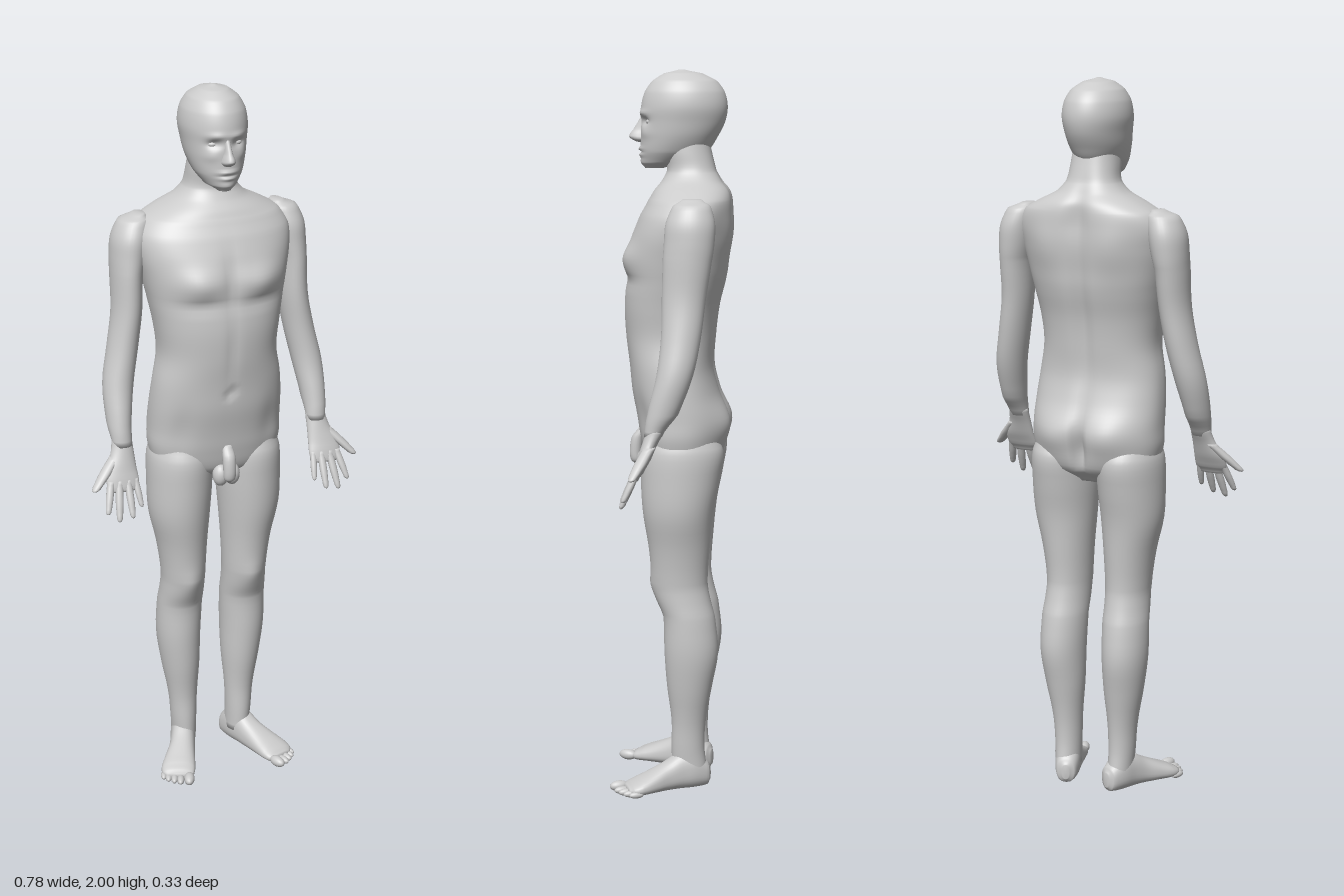
import * as THREE from 'three';

const skin = new THREE.MeshStandardMaterial({ color: 0xcccccc });

// Smooth closed body lofted upward through rows [y, cx, cz, rx, rFront, rBack].
// bumps: [x, y, face (+1 front, -1 back), sizeX, sizeY, amount] push the skin in or out along z.
function loft(name, rows, { around = 32, steps = 4, square = 1, bumps = [] } = {}) {
  const r = rows[0][0] > rows[rows.length - 1][0] ? [...rows].reverse() : rows;
  const at = (i) => r[Math.max(0, Math.min(r.length - 1, i))];
  const pos = [], index = [];
  const rings = (r.length - 1) * steps + 1;
  const bend = (v) => Math.sign(v) * Math.pow(Math.abs(v), square);
  for (let k = 0; k < rings; k++) {
    const i = Math.min(Math.floor(k / steps), r.length - 2), t = k / steps - i;
    const [y, cx, cz, rx, rf, rb] = r[0].map((_, c) => {
      const [a, b, d, e] = [at(i - 1)[c], at(i)[c], at(i + 1)[c], at(i + 2)[c]];
      if (c === 0) return b + (d - b) * t;
      return b + 0.5 * t * (d - a + t * (2 * a - 5 * b + 4 * d - e + t * (3 * (b - d) + e - a)));
    });
    for (let j = 0; j < around; j++) {
      const w = (j / around) * Math.PI * 2, s = Math.sin(w);
      const x = cx + rx * bend(Math.cos(w));
      let z = cz + (s > 0 ? rf : rb) * bend(s);
      for (const [bx, by, face, sx, sy, amt] of bumps) {
        const facing = Math.max(0, s * face);
        z += face * amt * Math.sqrt(facing) * Math.exp(-(((x - bx) / sx) ** 2) - ((y - by) / sy) ** 2);
      }
      pos.push(x, y, z);
      if (k < rings - 1) {
        const a = k * around + j, b = k * around + ((j + 1) % around);
        index.push(a, a + around, b, b, a + around, b + around);
      }
    }
  }
  // End caps
  for (const [row, k] of [[r[0], 0], [r[r.length - 1], rings - 1]]) {
    const c = pos.length / 3;
    pos.push(row[1], row[0], row[2]);
    for (let j = 0; j < around; j++) {
      const a = k * around + j, b = k * around + ((j + 1) % around);
      k ? index.push(c, b, a) : index.push(c, a, b);
    }
  }
  const g = new THREE.BufferGeometry();
  g.setAttribute('position', new THREE.Float32BufferAttribute(pos, 3));
  g.setIndex(index);
  g.computeVertexNormals();
  const mesh = new THREE.Mesh(g, skin);
  mesh.name = name;
  return mesh;
}

const mirrored = (rows, s) => rows.map(([y, cx, ...rest]) => [y, cx * s, ...rest]);
const both = (bumps) => bumps.flatMap(([x, ...rest]) => [[x, ...rest], [-x, ...rest]]);

function ellipsoid(name, x, y, z, rx, ry, rz) {
  const mesh = new THREE.Mesh(new THREE.SphereGeometry(1, 20, 14), skin);
  mesh.position.set(x, y, z);
  mesh.scale.set(rx, ry, rz);
  mesh.name = name;
  return mesh;
}

// Tapered finger from base to tip with a slight knuckle and a round end
function finger(name, base, tip, r, s) {
  const profile = [[0, 1], [0.25, 1], [0.5, 1.02], [0.75, 0.88], [0.92, 0.72], [0.98, 0.45], [1, 0.1]];
  const rows = profile.map(([t, k]) => {
    const p = base.map((b, i) => b + (tip[i] - b) * t);
    return [p[1], p[0] * s, p[2], r * k, r * k, r * k];
  });
  return loft(name, rows, { around: 12, steps: 3 });
}

function makeTorso() {
  return loft('torso', [
    [0.90, 0, -0.02, 0.09, 0.05, 0.06], [0.94, 0, -0.02, 0.165, 0.095, 0.11],
    [1.00, 0, -0.02, 0.188, 0.112, 0.122], [1.06, 0, -0.02, 0.189, 0.122, 0.128],
    [1.13, 0, -0.01, 0.187, 0.125, 0.117], [1.20, 0, 0, 0.18, 0.122, 0.112],
    [1.28, 0, 0, 0.167, 0.132, 0.117], [1.36, 0, 0, 0.175, 0.136, 0.127],
    [1.44, 0, -0.01, 0.19, 0.14, 0.135], [1.50, 0, -0.02, 0.203, 0.146, 0.13],
    [1.56, 0, -0.03, 0.215, 0.142, 0.125], [1.61, 0, -0.045, 0.217, 0.137, 0.112],
    [1.65, 0, -0.06, 0.195, 0.13, 0.098], [1.675, 0, -0.06, 0.15, 0.115, 0.093],
    [1.70, 0, -0.055, 0.1, 0.09, 0.08], [1.73, 0, -0.05, 0.073, 0.07, 0.067],
    [1.78, 0, -0.035, 0.066, 0.06, 0.068], [1.84, 0, -0.03, 0.06, 0.055, 0.06],
  ], {
    around: 96, steps: 5, square: 0.88,
    bumps: [
      [0, 1.5, 1, 0.018, 0.07, -0.008], [0, 1.18, 1, 0.012, 0.012, -0.01],
      [0, 1.31, 1, 0.014, 0.1, -0.005], [0, 1.38, -1, 0.025, 0.24, -0.016],
      [0, 1.0, -1, 0.014, 0.07, -0.03], [0, 1.64, -1, 0.03, 0.06, -0.012],
      ...both([[0.09, 1.495, 1, 0.06, 0.04, 0.018], [0.085, 1.435, 1, 0.07, 0.014, -0.007],
        [0.085, 1.03, -1, 0.065, 0.06, 0.018], [0.1, 1.56, -1, 0.06, 0.08, 0.012],
        [0.13, 1.07, 1, 0.03, 0.07, -0.006]]),
    ],
  });
}

function makeHead() {
  const head = new THREE.Group();
  head.name = 'head';
  head.add(loft('skull', [
    [1.735, 0, 0.06, 0.018, 0.018, 0.03], [1.75, 0, 0.03, 0.043, 0.056, 0.06],
    [1.78, 0, 0.01, 0.064, 0.082, 0.1], [1.82, 0, -0.01, 0.078, 0.102, 0.108],
    [1.86, 0, -0.02, 0.085, 0.111, 0.118], [1.90, 0, -0.027, 0.09, 0.118, 0.118],
    [1.94, 0, -0.027, 0.084, 0.108, 0.11], [1.97, 0, -0.025, 0.067, 0.085, 0.09],
    [1.99, 0, -0.022, 0.04, 0.05, 0.053], [2.0, 0, -0.02, 0.006, 0.008, 0.008],
  ], {
    around: 96, steps: 8,
    bumps: [
      [0, 1.75, 1, 0.025, 0.014, 0.006], [0, 1.787, 1, 0.025, 0.005, 0.007],
      [0, 1.779, 1, 0.024, 0.003, -0.004], [0, 1.771, 1, 0.022, 0.005, 0.006],
      ...both([[0.034, 1.862, 1, 0.018, 0.011, -0.012], [0.03, 1.884, 1, 0.025, 0.008, 0.005],
        [0.045, 1.83, 1, 0.018, 0.014, 0.004]]),
    ],
  }));
  head.add(loft('nose', [
    [1.806, 0, 0.085, 0.012, 0.018, 0.01], [1.813, 0, 0.088, 0.018, 0.029, 0.01],
    [1.822, 0, 0.09, 0.017, 0.034, 0.01], [1.84, 0, 0.088, 0.011, 0.024, 0.01],
    [1.865, 0, 0.084, 0.008, 0.013, 0.01], [1.885, 0, 0.08, 0.006, 0.008, 0.01],
  ], { around: 20 }));
  for (const s of [1, -1]) head.add(ellipsoid('eye', 0.033 * s, 1.861, 0.064, 0.014, 0.008, 0.011));
  return head;
}

function makeArm(s) {
  const arm = new THREE.Group();
  arm.name = s > 0 ? 'leftArm' : 'rightArm';
  arm.add(loft('upperArmAndForearm', mirrored([
    [1.662, 0.198, -0.06, 0.015, 0.025, 0.025], [1.645, 0.212, -0.06, 0.042, 0.05, 0.05],
    [1.60, 0.225, -0.06, 0.05, 0.068, 0.063], [1.55, 0.232, -0.06, 0.048, 0.072, 0.062],
    [1.50, 0.238, -0.055, 0.043, 0.07, 0.06], [1.40, 0.242, -0.045, 0.041, 0.062, 0.055],
    [1.30, 0.258, -0.035, 0.042, 0.053, 0.053], [1.20, 0.278, -0.018, 0.042, 0.047, 0.05],
    [1.10, 0.287, 0.012, 0.034, 0.04, 0.042], [1.04, 0.286, 0.037, 0.027, 0.024, 0.024],
  ], s)));
  arm.add(loft('palm', mirrored([
    [1.06, 0.286, 0.03, 0.028, 0.025, 0.025], [1.02, 0.29, 0.045, 0.033, 0.021, 0.02],
    [0.98, 0.299, 0.06, 0.044, 0.019, 0.018], [0.945, 0.299, 0.076, 0.046, 0.014, 0.015],
    [0.925, 0.299, 0.085, 0.036, 0.008, 0.01],
  ], s)));
  arm.add(finger('indexFinger', [0.333, 0.955, 0.075], [0.354, 0.873, 0.112], 0.0105, s));
  arm.add(finger('middleFinger', [0.31, 0.955, 0.077], [0.324, 0.85, 0.12], 0.011, s));
  arm.add(finger('ringFinger', [0.286, 0.955, 0.077], [0.286, 0.857, 0.122], 0.0105, s));
  arm.add(finger('littleFinger', [0.264, 0.955, 0.074], [0.256, 0.88, 0.107], 0.009, s));
  arm.add(finger('thumb', [0.31, 1.015, 0.045], [0.384, 0.935, 0.088], 0.016, s));
  return arm;
}

function makeLeg(s) {
  const leg = new THREE.Group();
  leg.name = s > 0 ? 'leftLeg' : 'rightLeg';
  leg.add(loft('thighAndCalf', mirrored([
    [1.02, 0.1, -0.02, 0.075, 0.09, 0.1], [0.97, 0.101, -0.02, 0.089, 0.106, 0.122],
    [0.90, 0.102, -0.02, 0.091, 0.106, 0.114], [0.80, 0.104, -0.02, 0.086, 0.1, 0.095],
    [0.70, 0.097, -0.02, 0.071, 0.085, 0.085], [0.60, 0.093, -0.02, 0.062, 0.075, 0.079],
    [0.55, 0.094, -0.027, 0.062, 0.07, 0.08], [0.50, 0.096, -0.04, 0.064, 0.064, 0.08],
    [0.40, 0.098, -0.05, 0.063, 0.071, 0.079], [0.30, 0.093, -0.05, 0.055, 0.064, 0.062],
    [0.20, 0.088, -0.045, 0.042, 0.047, 0.05], [0.12, 0.086, -0.045, 0.037, 0.047, 0.046],
    [0.05, 0.084, -0.05, 0.034, 0.05, 0.048],
  ], s), { around: 40, bumps: [[0.092 * s, 0.59, 1, 0.03, 0.035, 0.007]] }));

  // Foot lofted from heel to ball, laid forward and turned outward
  const foot = new THREE.Group();
  foot.name = 'foot';
  const sole = loft('footBody', mirrored([
    [-0.048, 0, -0.04, 0.01, 0.022, 0.02], [-0.038, 0, -0.042, 0.028, 0.036, 0.035],
    [0, 0, -0.05, 0.036, 0.048, 0.06], [0.04, 0, -0.045, 0.036, 0.043, 0.06],
    [0.08, 0.002, -0.035, 0.038, 0.033, 0.048], [0.12, 0.007, -0.028, 0.044, 0.026, 0.036],
    [0.16, 0.011, -0.022, 0.049, 0.02, 0.025], [0.185, 0.011, -0.019, 0.046, 0.017, 0.016],
    [0.2, 0.008, -0.017, 0.034, 0.01, 0.009],
  ], s), { square: 0.85 });
  sole.rotation.x = Math.PI / 2;
  foot.add(sole);
  [[-0.021, 0.212, 0.015], [0.004, 0.21, 0.0105], [0.022, 0.203, 0.01], [0.039, 0.194, 0.0095], [0.053, 0.182, 0.009]]
    .forEach(([x, z, r]) => foot.add(ellipsoid('toe', x * s, r + 0.002, z, r, r, r + 0.012)));
  foot.position.set(0.082 * s, 0, -0.06);
  foot.rotation.y = 0.36 * s;
  leg.add(foot);
  return leg;
}

// Plain anatomical form at the front of the pelvis
function makeGroin() {
  const groin = new THREE.Group();
  groin.name = 'groin';
  groin.add(loft('groinFront', [
    [1.02, 0, 0.085, 0.014, 0.012, 0.015], [0.99, 0, 0.102, 0.018, 0.017, 0.017],
    [0.95, 0, 0.108, 0.018, 0.017, 0.017], [0.925, 0, 0.107, 0.016, 0.015, 0.015],
    [0.912, 0, 0.106, 0.004, 0.004, 0.004],
  ], { around: 16 }));
  for (const s of [1, -1]) groin.add(ellipsoid('groinLower', 0.017 * s, 0.928, 0.08, 0.022, 0.032, 0.024));
  return groin;
}

export function createModel() {
  const figure = new THREE.Group();
  figure.name = 'figure';
  figure.add(makeTorso(), makeHead(), makeGroin());
  for (const s of [1, -1]) figure.add(makeArm(s), makeLeg(s));
  return figure;
}
